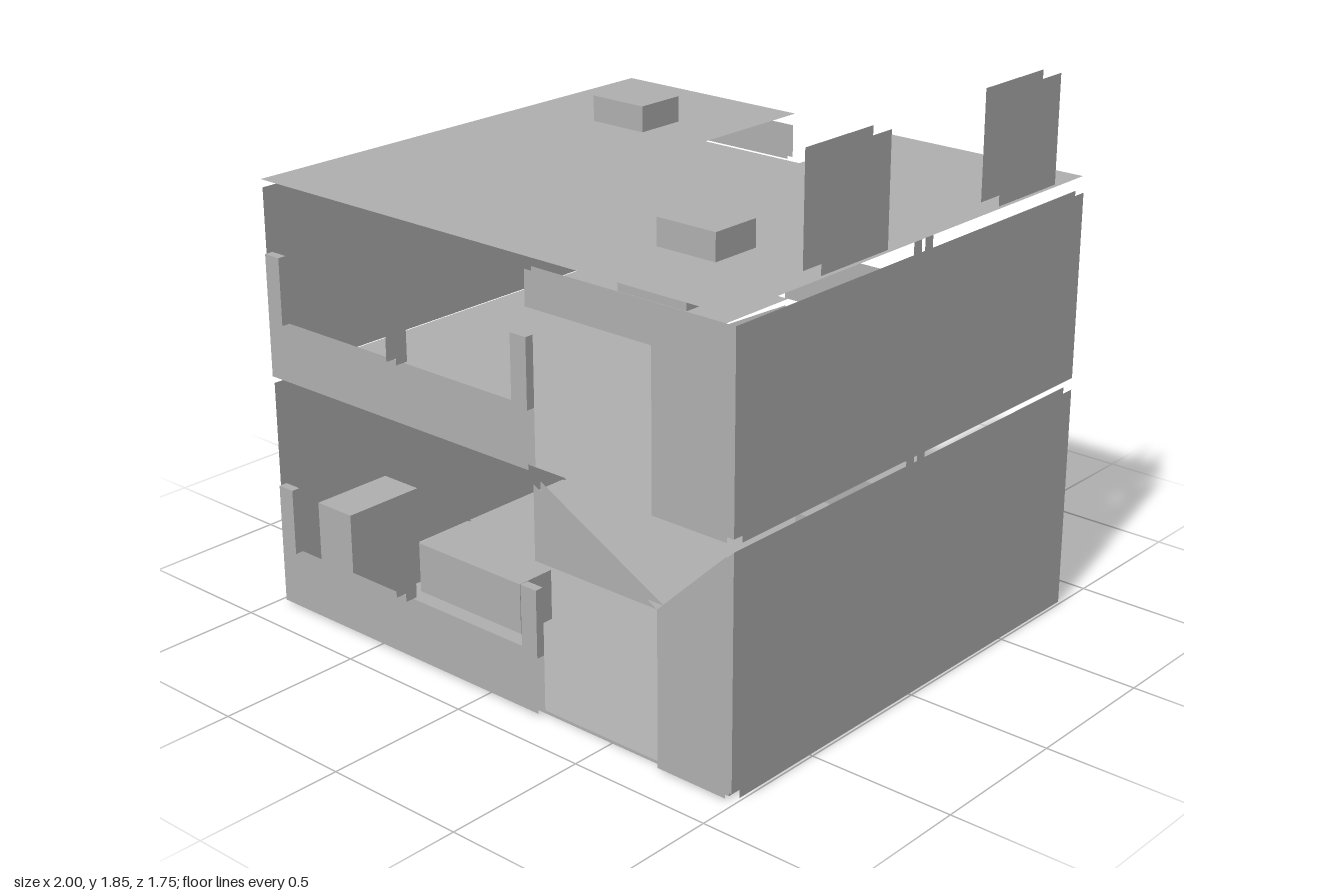
import * as THREE from 'three';

const grey = new THREE.MeshStandardMaterial({ color: 0xb0b0b0, side: THREE.DoubleSide });
grey.name = 'plain grey';

export function createModel() {
  const model = new THREE.Group();
  model.name = 'openHouse';

  const add = (parent, name, geometry) => {
    const mesh = new THREE.Mesh(geometry, grey);
    mesh.name = name;
    parent.add(mesh);
    return mesh;
  };
  // box given by its limits
  const box = (parent, name, x0, x1, y0, y1, z0, z1) =>
    add(parent, name, new THREE.BoxGeometry(x1 - x0, y1 - y0, z1 - z0))
      .position.set((x0 + x1) / 2, (y0 + y1) / 2, (z0 + z1) / 2);
  // sheet facing x
  const sideSheet = (parent, name, x, y0, y1, z0, z1) => {
    const mesh = add(parent, name, new THREE.PlaneGeometry(z1 - z0, y1 - y0));
    mesh.rotation.y = Math.PI / 2;
    mesh.position.set(x, (y0 + y1) / 2, (z0 + z1) / 2);
  };
  const outline = (points) => new THREE.ShapeGeometry(
    new THREE.Shape(points.map(([x, y]) => new THREE.Vector2(x, y))));
  // outer and inner skin of a facade panel
  const panel = (parent, name, points) => {
    for (const z of [0.84, 0.87]) add(parent, name, outline(points)).position.z = z;
  };
  // level sheet with a stair notch at the back
  const deck = (name, y, w, zBack, zFront, notch) => {
    const mesh = add(model, name, outline([
      [-w, -zFront], [w, -zFront], [w, -zBack], [notch, -zBack],
      [notch, 0.4], [-notch, 0.4], [-notch, -zBack], [-w, -zBack]]));
    mesh.rotation.x = -Math.PI / 2;
    mesh.position.y = y;
  };

  // floors and roof
  box(model, 'groundFloor', -0.96, 0.96, 0, 0.01, -0.84, 0.84);
  deck('upperFloor', 0.82, 0.965, -0.84, 0.84, 0.185);
  deck('roof', 1.49, 0.97, -0.88, 0.87, 0.2);

  // double side walls
  for (const s of [-1, 1]) for (const x of [0.97, 1]) {
    sideSheet(model, 'lowerSideWall', s * x, 0.01, 0.78, -0.84, 0.84);
    sideSheet(model, 'upperSideWall', s * x, 0.82, 1.45, -0.84, 0.84);
  }

  // the back facade is the front one turned half round
  for (const front of [true, false]) {
    const facade = new THREE.Group();
    facade.name = front ? 'frontFacade' : 'backFacade';
    if (!front) facade.rotation.y = Math.PI;
    model.add(facade);

    // lower storey
    panel(facade, 'lowerParapet', [[-0.97, 0.01], [0.22, 0.01], [0.22, 0.2], [-0.97, 0.2]]);
    panel(facade, 'lowerPier', [[0.71, 0.01], [0.97, 0.01], [0.97, 0.78], [0.71, 0.53]]);
    panel(facade, 'doorGusset', [[0.22, 0.53], [0.71, 0.53], [0.22, 0.78]]);
    box(facade, 'lowerOuterPost', -0.97, -0.905, 0.2, 0.43, 0.84, 0.87);
    box(facade, 'lowerDoorPost', 0.155, 0.22, 0.2, 0.43, 0.84, 0.87);

    // upper storey
    panel(facade, 'upperParapet', [[-0.97, 0.82], [0.2, 0.82], [0.2, 1.01], [-0.97, 1.01]]);
    panel(facade, 'upperPier', [[0.69, 0.82], [0.97, 0.82], [0.97, 1.45],
      [0.2, 1.45], [0.2, 1.335], [0.69, 1.335]]);
    box(facade, 'upperOuterPost', -0.97, -0.905, 1.01, 1.24, 0.84, 0.87);
    if (front) box(facade, 'upperDoorPost', 0.135, 0.2, 1.01, 1.24, 0.84, 0.87);

    // thin dividers standing on the parapets
    for (const y of [0.2, 1.01]) for (const x of [-0.41, -0.365])
      sideSheet(facade, 'divider', x, y, y + 0.23, 0.825, 0.87);
  }

  // furniture
  box(model, 'tallBox', -0.89, -0.73, 0.01, 0.36, 0.475, 0.775);
  box(model, 'lowTable', -0.675, -0.196, 0.01, 0.19, 0.38, 0.526);
  box(model, 'lowerCabinet', 0.33, 0.68, 0.01, 0.34, -0.38, -0.25);
  box(model, 'leftBench', 0.535, 0.847, 0.01, 0.24, -0.82, -0.66);
  box(model, 'rightBench', -0.93, -0.62, 0.01, 0.24, -0.75, -0.57);
  box(model, 'upperCabinet', 0.36, 0.715, 0.82, 1.15, 0.27, 0.4);
  box(model, 'upperBench', -0.7, -0.37, 0.82, 1.0, -0.66, -0.5);

  // roof units and upright double boards
  box(model, 'frontRoofUnit', 0.43, 0.655, 1.49, 1.58, 0.375, 0.555);
  box(model, 'backRoofUnit', -0.66, -0.435, 1.49, 1.58, -0.53, -0.345);
  for (const z of [0.14, -0.74]) for (const x of [0.89, 0.955])
    sideSheet(model, 'roofBoard', x, 1.49, 1.85, z, z + 0.313);

  return model;
}
